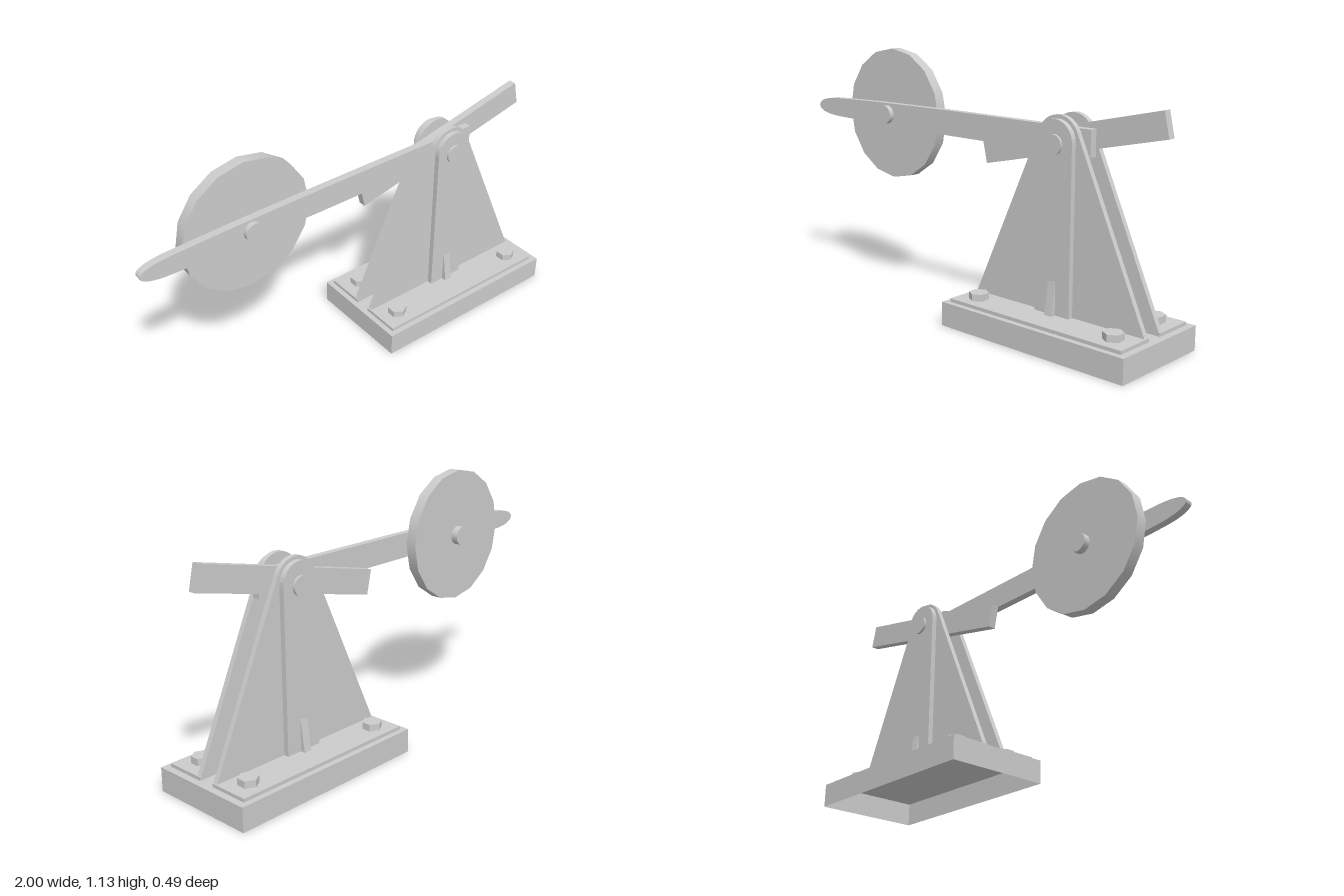
import * as THREE from 'three';

const material = new THREE.MeshStandardMaterial({ color: 0xcccccc, side: THREE.DoubleSide });
const PIVOT_X = 0.53, PIVOT_Y = 0.83;

function add(parent, name, geometry, x = 0, y = 0, z = 0) {
  const mesh = new THREE.Mesh(geometry, material);
  mesh.name = name;
  mesh.position.set(x, y, z);
  parent.add(mesh);
  return mesh;
}

// Flat plate cut from a shape, lying between z0 and z1
function plate(shape, z0, z1) {
  return new THREE.ExtrudeGeometry(shape, { depth: z1 - z0, bevelEnabled: false, curveSegments: 8 })
    .translate(0, 0, z0);
}

// Round bar along z between z0 and z1
function pin(radius, z0, z1, sides = 24) {
  return new THREE.CylinderGeometry(radius, radius, z1 - z0, sides)
    .rotateX(Math.PI / 2).translate(0, 0, (z0 + z1) / 2);
}

// Upright with a rounded top, measured from the pivot
function uprightShape(halfWidth, bottom, radius, startAngle) {
  const shape = new THREE.Shape();
  shape.moveTo(-halfWidth, bottom);
  shape.lineTo(halfWidth, bottom);
  shape.absarc(0, 0, radius, startAngle, Math.PI - startAngle, false);
  shape.closePath();
  return shape;
}

// One side of the stand, built towards +z around the pivot's x
function createBracket(name) {
  const bracket = new THREE.Group();
  bracket.name = name;

  add(bracket, 'footPlate', new THREE.BoxGeometry(0.88, 0.015, 0.182), 0, 0.1125, 0.129);
  add(bracket, 'triangularPlate', plate(uprightShape(0.44, 0.105 - PIVOT_Y, 0.103, 0.431), 0.037, 0.06), 0, PIVOT_Y);
  add(bracket, 'reinforcingStrip', plate(uprightShape(0.088, 0.12 - PIVOT_Y, 0.088, 0), 0.06, 0.084), 0, PIVOT_Y);
  add(bracket, 'pivotPinHead', pin(0.041, 0.03, 0.095), 0, 0.818);

  // Small wedge at the foot of the strip
  const wedge = new THREE.Shape([[0.08, 0.12], [0.107, 0.12], [0.086, 0.258], [0.08, 0.258]]
    .map(([z, y]) => new THREE.Vector2(z, y)));
  add(bracket, 'wedgeRib', plate(wedge, -0.018, 0.018).rotateY(-Math.PI / 2));

  for (const x of [-0.348, 0.348]) {
    add(bracket, 'hexBolt', new THREE.CylinderGeometry(0.043, 0.043, 0.03, 6).toNonIndexed(), x, 0.135, 0.14)
      .geometry.computeVertexNormals();
  }
  bracket.position.x = PIVOT_X;
  return bracket;
}

export function createModel() {
  const model = new THREE.Group();
  model.name = 'leverStand';

  // Hollow base, open underneath
  const box = new THREE.BoxGeometry(0.935, 0.105, 0.49);
  const index = Array.from(box.index.array);
  index.splice(18, 6);
  box.setIndex(index);
  box.clearGroups();
  add(model, 'base', box, 0.5325, 0.0525);

  // Two matching brackets
  model.add(createBracket('frontBracket'));
  const back = createBracket('backBracket');
  back.rotation.y = Math.PI;
  model.add(back);
  add(model, 'pivotPin', pin(0.035, -0.06, 0.06), PIVOT_X, 0.818);

  // Long arm with a tapered, rounded tip
  const arm = new THREE.Shape();
  arm.moveTo(0.67, 0.775);
  arm.lineTo(0.67, 0.885);
  arm.lineTo(-0.15, 0.885);
  arm.lineTo(-0.58, 0.881);
  arm.lineTo(-0.87, 0.873);
  arm.bezierCurveTo(-0.95, 0.87, -1, 0.853, -1, 0.83);
  arm.bezierCurveTo(-1, 0.807, -0.95, 0.79, -0.87, 0.787);
  arm.lineTo(-0.58, 0.779);
  arm.lineTo(-0.15, 0.775);
  arm.closePath();
  add(model, 'longArm', plate(arm, 0, 0.034));

  // Short tilted bar behind the arm
  const bar = add(model, 'tiltedBar', new THREE.BoxGeometry(0.927, 0.108, 0.035), 0.535, PIVOT_Y, -0.0175);
  bar.rotation.z = 0.224;

  // Faceted disc and its axle
  add(model, 'disc', pin(0.3, -0.05, 0, 16), -0.5, PIVOT_Y);
  add(model, 'discAxle', pin(0.042, -0.081, 0.057), -0.5, PIVOT_Y);

  return model;
}
